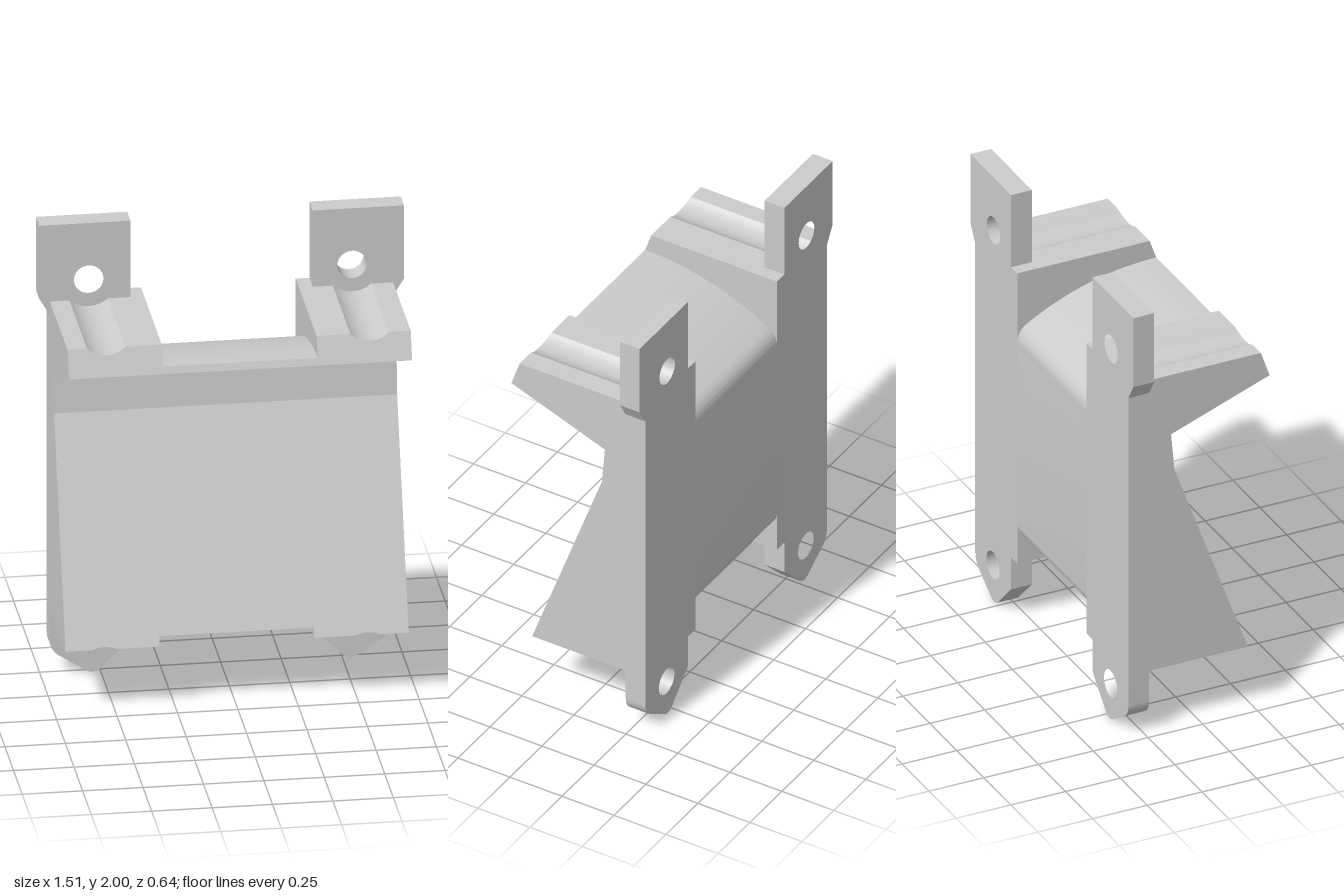
import * as THREE from 'three';
import { toCreasedNormals } from 'three/addons/utils/BufferGeometryUtils.js';

const material = new THREE.MeshStandardMaterial({ color: 0xcccccc });
const BACK = -0.32, TAB = 0.095;       // back plane and tab thickness
const HALF = 0.71, NOTCH = 0.32;       // half width of body and of its centre section
const TOP = 1.66, BOTTOM = 0.29;

function addMesh(group, name, geometry) {
  const mesh = new THREE.Mesh(toCreasedNormals(geometry, 0.22), material);
  mesh.name = name;
  group.add(mesh);
}

// depth of the sloping front faces at a given height
const lipZ = y => 0.325 - (y - 1.545) * 0.348;
const rampZ = y => 0.225 - (y - 0.29) * 0.364;

// side profiles are drawn with shape x = -z, then turned to run along x
function startProfile(bottom, top) {
  const s = new THREE.Shape();
  s.moveTo(-rampZ(bottom), bottom);
  s.lineTo(0.11, 1.21);
  s.lineTo(0.125, 1.38);
  s.lineTo(-0.325, 1.545);
  s.lineTo(-lipZ(top), top);
  return s;
}

// centre section: curved over the top and under the bottom, rounded at the back
function centreBody() {
  const s = startProfile(0.33, 1.575);
  const R = 1.15, cz = 0.315, cy = 1.575 - R;
  for (let i = 1; i <= 16; i++) {
    const z = cz - (i / 16) * (cz + 0.27);
    s.lineTo(-z, cy + Math.sqrt(R * R - (z - cz) ** 2));
  }
  s.quadraticCurveTo(-BACK, 1.389, -BACK, 1.33);
  s.lineTo(-BACK, 0.48);
  s.quadraticCurveTo(-BACK, 0.43, 0.27, 0.415);
  s.quadraticCurveTo(0.03, 0.355, -rampZ(0.33), 0.33);
  const g = new THREE.ExtrudeGeometry(s, { depth: 2 * NOTCH, bevelEnabled: false, curveSegments: 14 });
  g.translate(0, 0, -NOTCH);
  return g.rotateY(Math.PI / 2);
}

// side section: stepped along x so tool channels can be pressed into top and bottom
function sideBody(x0, x1, topX, bottomX) {
  const s = startProfile(BOTTOM, TOP);
  s.lineTo(-BACK, TOP);
  s.lineTo(-BACK, BOTTOM);
  const offsets = [0.0794, 0.065, 0.05, 0.035, 0.018];
  const c = topX;
  const xs = [x0, ...offsets.map(o => c - o), c, ...offsets.slice().reverse().map(o => c + o), x1];
  const steps = xs.length - 1;
  const g = new THREE.ExtrudeGeometry(s, { depth: steps, steps, bevelEnabled: false });
  const p = g.attributes.position;
  for (let i = 0; i < p.count; i++) {
    const x = xs[Math.round(p.getZ(i))], y = p.getY(i), front = p.getX(i) < 0;
    p.setZ(i, x);
    const dt = Math.abs(x - topX), db = Math.abs(x - bottomX);
    if (Math.abs(y - TOP) < 1e-4 && dt < 0.0795) {
      const ny = 1.75 - Math.sqrt(0.0144 - dt * dt);
      p.setY(i, ny);
      if (front) p.setX(i, -lipZ(ny));
    } else if (Math.abs(y - BOTTOM) < 1e-4 && db < 0.05) {
      const ny = 0.17 + Math.sqrt(0.0169 - db * db);
      p.setY(i, ny);
      if (front) p.setX(i, -rampZ(ny));
    }
  }
  return g.rotateY(Math.PI / 2);
}

// flat mounting tab with a screw hole
function tab(shape, holeX, holeY) {
  const hole = new THREE.Path();
  hole.absarc(holeX, holeY, 0.061, 0, Math.PI * 2, true);
  shape.holes.push(hole);
  const g = new THREE.ExtrudeGeometry(shape, { depth: TAB, bevelEnabled: false, curveSegments: 20 });
  return g.translate(0, 0, BACK);
}

function upperTabShape(s) {
  return new THREE.Shape([[0.377, 1.6], [0.71, 1.6], [0.755, 1.675], [0.755, 2], [0.377, 2]]
    .map(([x, y]) => new THREE.Vector2(s * x, y)));
}

function lowerTabShape(s) {
  const h = new THREE.Shape();
  h.moveTo(s * 0.377, 0.33);
  h.lineTo(s * 0.377, 0.14);
  h.lineTo(s * 0.5, 0.016);
  h.quadraticCurveTo(s * 0.53, -0.012, s * 0.565, 0.012);
  h.lineTo(s * 0.675, 0.083);
  h.quadraticCurveTo(s * HALF, 0.108, s * HALF, 0.15);
  h.lineTo(s * HALF, 0.33);
  return h;
}

export function createModel() {
  const group = new THREE.Group();
  group.name = 'mountingBracket';
  addMesh(group, 'centreBody', centreBody());
  for (const s of [1, -1]) {
    const side = s > 0 ? 'left' : 'right';
    const topX = s > 0 ? 0.54 : -0.55;
    const [x0, x1] = s > 0 ? [NOTCH, HALF] : [-HALF, -NOTCH];
    addMesh(group, side + 'Body', sideBody(x0, x1, topX, topX));
    addMesh(group, side + 'UpperTab', tab(upperTabShape(s), topX, 1.75));
    addMesh(group, side + 'LowerTab', tab(lowerTabShape(s), s * 0.545, 0.168));
  }
  return group;
}
